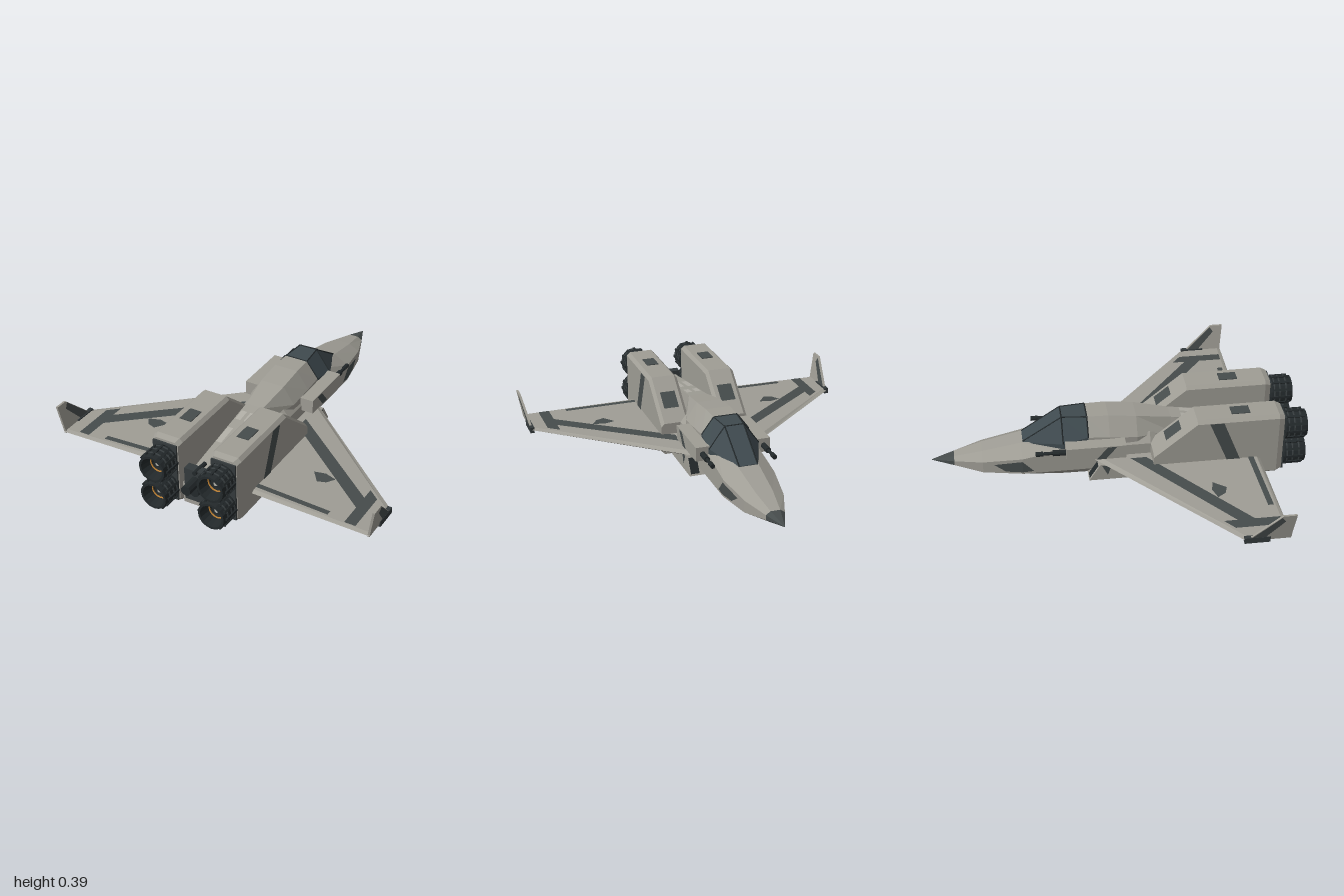
import * as THREE from 'three';

const V = (x, y, z) => new THREE.Vector3(x, y, z);
const mat = (name, color, double) => {
  const m = new THREE.MeshStandardMaterial({ color, flatShading: true });
  m.name = name;
  if (double) m.side = THREE.DoubleSide;
  return m;
};

// Flat triangles from a list of corner points
function triangles(pts) {
  return new THREE.BufferGeometry().setFromPoints(pts);
}

// Swap two corners of every triangle
function flip(geo) {
  const p = geo.attributes.position, a = V(), b = V();
  for (let i = 0; i < p.count; i += 3) {
    a.fromBufferAttribute(p, i + 1);
    b.fromBufferAttribute(p, i + 2);
    p.setXYZ(i + 1, b.x, b.y, b.z);
    p.setXYZ(i + 2, a.x, a.y, a.z);
  }
}

// Closed solid through a row of equal-length loops, always facing outward
function loft(loops) {
  const out = [], n = loops[0].length, last = loops[loops.length - 1];
  for (let i = 0; i + 1 < loops.length; i++) {
    for (let j = 0; j < n; j++) {
      const k = (j + 1) % n, A = loops[i], B = loops[i + 1];
      out.push(A[j], A[k], B[k], A[j], B[k], B[j]);
    }
  }
  for (let j = 1; j + 1 < n; j++) {
    out.push(loops[0][0], loops[0][j + 1], loops[0][j], last[0], last[j], last[j + 1]);
  }
  let vol = 0;
  for (let i = 0; i < out.length; i += 3) vol += out[i].dot(V().crossVectors(out[i + 1], out[i + 2]));
  const geo = triangles(out);
  if (vol < 0) flip(geo);
  geo.computeVertexNormals();
  return geo;
}

// Painted face: a fan of triangles turned toward the given direction
function paint(pts, dir) {
  const out = [];
  for (let j = 1; j + 1 < pts.length; j++) out.push(pts[0], pts[j], pts[j + 1]);
  const normal = V().crossVectors(V().subVectors(pts[1], pts[0]), V().subVectors(pts[2], pts[0]));
  const geo = triangles(out);
  if (normal.dot(dir) < 0) flip(geo);
  geo.computeVertexNormals();
  return geo;
}

const box = (x0, x1, y0, y1, z0, z1) =>
  new THREE.BoxGeometry(x1 - x0, y1 - y0, z1 - z0).translate((x0 + x1) / 2, (y0 + y1) / 2, (z0 + z1) / 2);
const tubeZ = (r0, r1, z0, z1, x, y, sides = 10) =>
  new THREE.CylinderGeometry(r1, r0, z1 - z0, sides).rotateX(Math.PI / 2).translate(x, y, (z0 + z1) / 2);
const rod = (a, b, r) => new THREE.TubeGeometry(new THREE.LineCurve3(a, b), 1, r, 4);

// Symmetric loop from right-hand points listed bottom to top
const symmetric = (half, z) => [
  ...half.map(([x, y]) => V(x, y, z)),
  ...half.slice().reverse().map(([x, y]) => V(-x, y, z)),
];

export function createModel() {
  const model = new THREE.Group();
  model.name = 'jetFighter';
  const hull = mat('hullGrey', 0x9f9d95);
  const camo = mat('camoSlate', 0x464c4c);
  const glass = mat('canopyGlass', 0x3f4a4f);
  const dark = mat('engineBlack', 0x23292b, true);
  const plate = mat('rearPlate', 0x343a3c);
  const pale = mat('panelPale', 0xb0aea6);
  const orange = mat('burnerOrange', 0xc08234);

  const add = (name, geo, material) => {
    const m = new THREE.Mesh(geo, material);
    m.name = name;
    model.add(m);
  };
  // Adds a left part and its mirror image
  const pair = (name, geo, material) => {
    add(name + 'Left', geo, material);
    const g = geo.index ? geo.toNonIndexed() : geo.clone();
    g.scale(-1, 1, 1);
    flip(g);
    g.computeVertexNormals();
    add(name + 'Right', g, material);
  };

  // Fuselage: z, top half-width, top y, side half-width, upper y, lower y, bottom half-width, bottom y
  const body = [
    [-0.88, 0.025, 0.135, 0.05, 0.118, 0.092, 0.025, 0.075],
    [-0.73, 0.045, 0.168, 0.105, 0.135, 0.07, 0.05, 0.043],
    [-0.52, 0.055, 0.21, 0.14, 0.16, 0.065, 0.08, 0.026],
    [-0.3, 0.1, 0.25, 0.14, 0.2, 0.065, 0.1, 0.02],
    [0.17, 0.1, 0.25, 0.14, 0.2, 0.065, 0.11, 0.02],
    [0.3, 0.06, 0.2, 0.09, 0.16, 0.06, 0.085, 0.02],
    [0.85, 0.05, 0.16, 0.09, 0.14, 0.06, 0.085, 0.02],
  ].map(([z, wt, yt, wm, yu, yl, wb, yb]) => symmetric([[wb, yb], [wm, yl], [wm, yu], [wt, yt]], z));
  add('fuselage', loft(body), hull);
  add('noseCone', loft([symmetric([[0.001, 0.104], [0.002, 0.105], [0.002, 0.106], [0.001, 0.107]], -1), body[0]]), camo);

  // Canopy and dorsal spine: z, top half-width, top y, side half-width, side y
  const ridge = [
    [-0.51, 0.05, 0.215, 0.055, 0.205],
    [-0.3, 0.052, 0.352, 0.137, 0.235],
    [-0.165, 0.065, 0.352, 0.132, 0.262],
    [-0.05, 0.068, 0.352, 0.135, 0.255],
    [0.1, 0.068, 0.335, 0.13, 0.24],
    [0.29, 0.05, 0.3, 0.068, 0.22],
    [0.85, 0.04, 0.22, 0.045, 0.15],
  ].map(([z, wt, yt, wm, ym]) => symmetric([[wm, 0.12], [wm, ym], [wt, yt]], z));
  add('canopy', loft(ridge.slice(0, 3)), glass);
  add('dorsalSpine', loft(ridge.slice(2)), hull);
  for (const i of [0, 1]) pair('canopyFrame', rod(ridge[i][2], ridge[i + 1][2], 0.004), dark);
  for (const i of [1, 2]) {
    pair('canopyHoop', rod(ridge[i][1], ridge[i][2], 0.004), dark);
    add('canopyTopBar', rod(ridge[i][2], ridge[i][3], 0.004), dark);
  }
  const spineY = z => 0.303 - (z - 0.29) * 0.143;
  for (const [a, b] of [[0.35, 0.42], [0.49, 0.61]]) {
    pair('spinePanel', paint([V(0.01, spineY(a), a), V(0.042, spineY(a), a), V(0.04, spineY(b), b), V(0.01, spineY(b), b)], V(0, 1, 0)), pale);
  }

  // Belly keel and grille
  add('keelPanel', box(-0.075, 0.075, 0.006, 0.03, -0.38, 0.68), hull);
  add('bellyGrille', box(-0.05, 0.05, 0, 0.008, 0.05, 0.55), plate);
  for (let i = 0; i < 4; i++) add('grilleSlat', box(-0.04 + i * 0.024, -0.032 + i * 0.024, 0, 0.006, 0.06, 0.54), dark);

  // Nose side patches
  const side = [[-0.52, 0.145, 0.143], [-0.67, 0.122, 0.118], [-0.61, 0.08, 0.128], [-0.52, 0.077, 0.143], [-0.46, 0.08, 0.143]];
  pair('nosePatch', paint(side.map(([z, y, x]) => V(x, y, z)), V(1, 0, 0)), camo);

  // Cheek boxes with guns
  pair('cheekBox', box(0.12, 0.207, 0.17, 0.247, -0.29, 0.03), hull);
  pair('cheekPatch', paint([V(0.21, 0.245, -0.13), V(0.21, 0.245, -0.08), V(0.21, 0.172, -0.02), V(0.21, 0.172, -0.07)].map(p => p.setZ(-0.15 - p.z)), V(1, 0, 0)), camo);
  pair('gunBreech', tubeZ(0.016, 0.016, -0.36, -0.28, 0.17, 0.207), dark);
  pair('gunBarrel', tubeZ(0.009, 0.009, -0.44, -0.34, 0.17, 0.207), dark);
  pair('gunMuzzle', tubeZ(0.013, 0.013, -0.45, -0.41, 0.17, 0.207), dark);

  // Lower intakes with a slanted mouth
  const intake = x => [V(x, 0.03, -0.17), V(x, 0.125, -0.11), V(x, 0.125, 0.2), V(x, 0.03, 0.2)];
  pair('lowerIntake', loft([intake(0.09), intake(0.2)]), hull);
  pair('intakeMouth', paint([V(0.145, 0.04, -0.167), V(0.193, 0.04, -0.167), V(0.193, 0.115, -0.12), V(0.145, 0.115, -0.12)], V(0, 0.3, -1)), dark);
  pair('intakePatch', paint([V(0.203, 0.06, -0.07), V(0.203, 0.12, -0.1), V(0.203, 0.12, -0.05)], V(1, 0, 0)), camo);
  pair('intakeVent', box(0.19, 0.206, 0.065, 0.105, 0.13, 0.165), plate);

  // Engine nacelles: chamfered boxes with a sloped front
  const nacelle = [[0.17, 0.2, 0], [0.4, 0.39, 0], [0.84, 0.39, 0], [0.87, 0.378, 0.01]].map(([z, t, e]) => {
    const l = 0.085 + e, r = 0.25 - e, b = 0.02 + e, c = 0.018;
    return [[l + c, b], [r - c, b], [r, b + c], [r, t - c], [r - c, t], [l + c, t], [l, t - c], [l, b + c]].map(([x, y]) => V(x, y, z));
  });
  pair('nacelle', loft(nacelle), hull);
  pair('nacelleRearPlate', box(0.1, 0.237, 0.04, 0.365, 0.86, 0.88), plate);
  pair('nacelleTopHatch', box(0.133, 0.2, 0.385, 0.394, 0.59, 0.69), camo);
  const slope = z => 0.204 + (z - 0.17) * 0.19 / 0.23;
  pair('nacelleSlopeHatch', paint([V(0.125, slope(0.24), 0.24), V(0.21, slope(0.24), 0.24), V(0.21, slope(0.32), 0.32), V(0.125, slope(0.32), 0.32)], V(0, 1, 0)), camo);
  pair('nacelleStripe', paint([V(0.253, 0.372, 0.54), V(0.253, 0.372, 0.465), V(0.253, 0.05, 0.6), V(0.253, 0.05, 0.67)], V(1, 0, 0)), camo);

  // Four ribbed nozzles
  const profile = [[0.066, 0.87], [0.078, 0.885], [0.078, 0.97], [0.074, 1], [0.062, 1], [0.045, 0.92], [0, 0.92]];
  for (const y of [0.118, 0.28]) {
    const at = g => g.translate(0.167, y, 0);
    pair('nozzle', at(new THREE.LatheGeometry(profile.map(([r, h]) => new THREE.Vector2(r, h)), 16).rotateX(Math.PI / 2)), dark);
    for (const z of [0.9, 0.93, 0.965]) pair('nozzleRing', at(new THREE.TorusGeometry(0.078, 0.006, 5, 16).translate(0, 0, z)), plate);
    for (let i = 0; i < 12; i++) {
      pair('nozzleRib', at(box(0.074, 0.084, -0.006, 0.006, 0.89, 0.985).rotateZ(i * Math.PI / 6)), dark);
    }
    pair('burnerRing', at(new THREE.TorusGeometry(0.046, 0.004, 5, 16).translate(0, 0, 0.94)), orange);
    pair('burnerCone', at(tubeZ(0.026, 0.01, 0.915, 0.95, 0, 0, 8)), pale);
  }

  // Tail gun housing between the nacelles
  add('tailHousing', box(-0.066, 0.066, 0.06, 0.245, 0.82, 0.868), plate);
  add('tailBarrel', tubeZ(0.028, 0.028, 0.86, 0.96, 0, 0.185), dark);
  add('tailLowerPort', tubeZ(0.026, 0.026, 0.86, 0.885, 0, 0.125), dark);
  add('tailSensor', tubeZ(0.012, 0.012, 0.78, 0.88, 0, 0.238), dark);

  // Delta wings
  const rib = (x, le, te, y, t) => [V(x, y, le), V(x, y + t, le + 0.03), V(x, y + t, te - 0.02), V(x, y, te), V(x, y - t, te - 0.02), V(x, y - t, le + 0.03)];
  pair('wing', loft([rib(0.13, -0.147, 0.745, 0.125, 0.014), rib(0.9, 0.52, 0.76, 0.118, 0.007)]), hull);
  const wingTop = (x, z) => V(x, 0.142 - (x - 0.13) * 0.0182, z);
  const wingMarks = {
    wingDiagonal: [[0.18, 0.055], [0.18, 0.14], [0.76, 0.61], [0.76, 0.52]],
    wingTipBand: [[0.755, 0.445], [0.815, 0.495], [0.815, 0.735], [0.755, 0.735]],
    wingRearBand: [[0.25, 0.68], [0.25, 0.71], [0.66, 0.725], [0.66, 0.695]],
    wingBlotch: [[0.44, 0.45], [0.5, 0.435], [0.565, 0.455], [0.535, 0.5], [0.49, 0.515]],
  };
  for (const [name, pts] of Object.entries(wingMarks)) {
    pair(name, paint(pts.map(([x, z]) => wingTop(x, z)), V(0, 1, 0)), camo);
  }

  // Canted wingtip fins with dark leading strips
  const finX = y => 0.893 + (y - 0.1) * 0.18;
  const fin = (pts, o) => pts.map(([z, y]) => V(finX(y) + o, y, z));
  const finShape = [[0.53, 0.11], [0.7, 0.27], [0.77, 0.27], [0.755, 0.11]];
  pair('wingtipFin', loft([fin(finShape, -0.006), fin(finShape, 0.006)]), hull);
  const finStrip = [[0.54, 0.115], [0.695, 0.262], [0.715, 0.235], [0.61, 0.115]];
  for (const s of [-1, 1]) pair('finStrip', paint(fin(finStrip, s * 0.008), V(s, 0, 0)), camo);
  pair('wingtipPod', box(0.885, 0.908, 0.1, 0.132, 0.52, 0.65), plate);

  return model;
}
